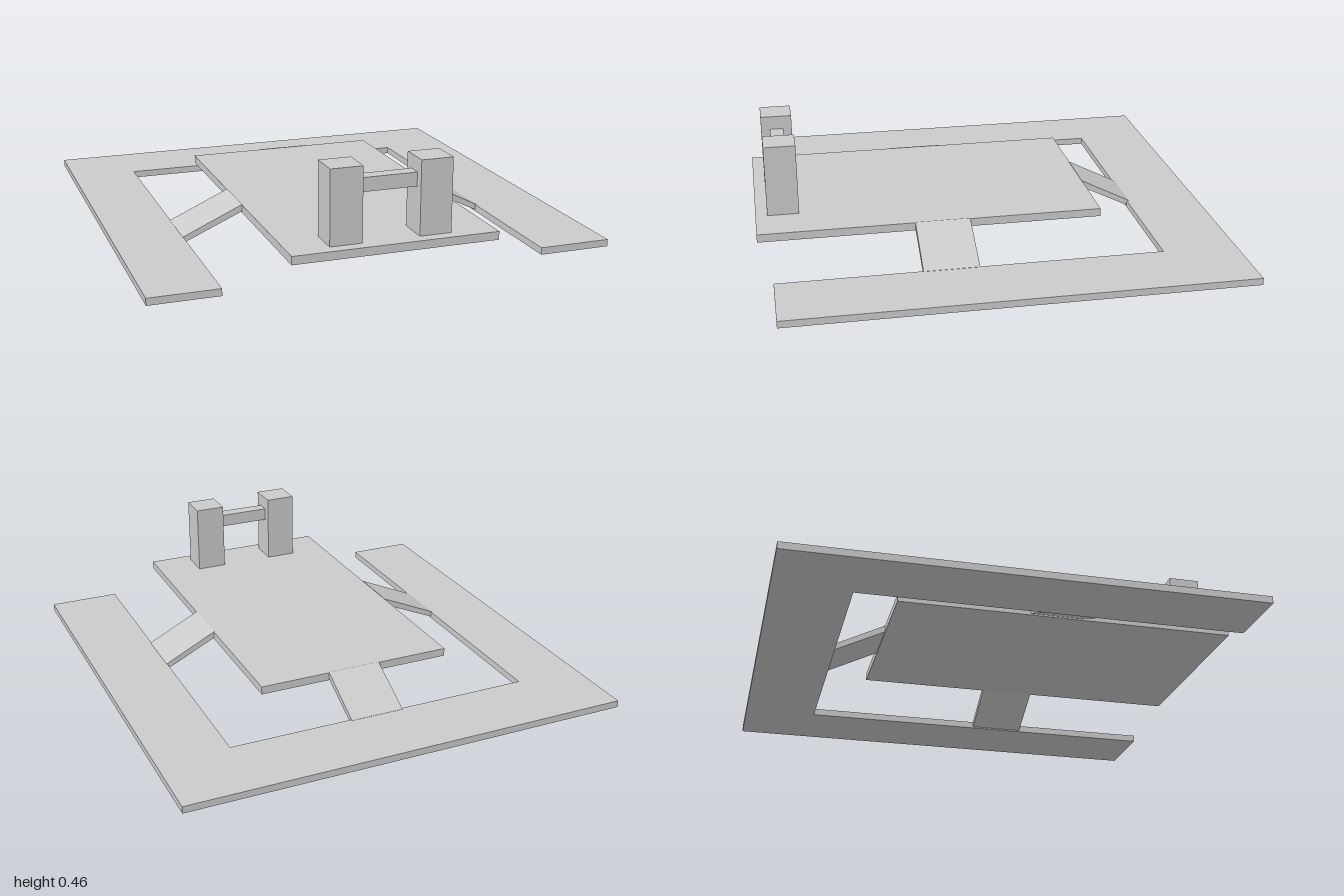
import * as THREE from 'three';

const material = new THREE.MeshStandardMaterial({ color: 0xcccccc, flatShading: true });

export function createModel() {
  const model = new THREE.Group();
  model.name = 'raisedPlatform';

  const add = (name, geometry) => {
    const mesh = new THREE.Mesh(geometry, material);
    mesh.name = name;
    model.add(mesh);
    return mesh;
  };

  // Box given by its limits on each axis
  const block = (name, [x0, x1], [y0, y1], [z0, z1]) =>
    add(name, new THREE.BoxGeometry(x1 - x0, y1 - y0, z1 - z0))
      .position.set((x0 + x1) / 2, (y0 + y1) / 2, (z0 + z1) / 2);

  const extrude = (points, depth) =>
    new THREE.ExtrudeGeometry(
      new THREE.Shape(points.map(([x, y]) => new THREE.Vector2(x, y))),
      { depth, bevelEnabled: false });

  // U-shaped ground frame, open at the front (outline in x and -z)
  const frame = extrude([
    [-0.975, -0.945], [-0.685, -0.945], [-0.685, 0.68], [0.66, 0.68],
    [0.66, -0.945], [0.97, -0.945], [0.97, 1], [-0.975, 1],
  ], 0.03);
  add('groundFrame', frame.rotateX(-Math.PI / 2));

  // Raised deck
  block('deck', [-0.43, 0.435], [0.11, 0.145], [-0.465, 1]);

  // Sloping ramps from the deck edge down to the frame
  const ramp = (name, inner, outer, angle, x, z) => {
    const geometry = extrude(
      [[inner, 0.117], [outer, 0.004], [outer, 0.031], [inner, 0.147]], 0.235);
    const mesh = add(name, geometry.translate(0, 0, -0.1175));
    mesh.rotation.y = angle;
    mesh.position.set(x, 0, z);
  };
  ramp('leftRamp', 0.433, 0.664, 0, 0, 0.2225);
  ramp('rightRamp', 0.429, 0.688, Math.PI, 0, 0.2225);
  ramp('backRamp', 0.463, 0.69, Math.PI / 2, 0.01, 0);

  // Two posts joined by a crossbar
  block('rightPost', [-0.26, -0.125], [0.145, 0.455], [0.815, 0.95]);
  block('leftPost', [0.115, 0.25], [0.145, 0.455], [0.815, 0.95]);
  block('crossbar', [-0.125, 0.115], [0.338, 0.396], [0.853, 0.912]);

  return model;
}
